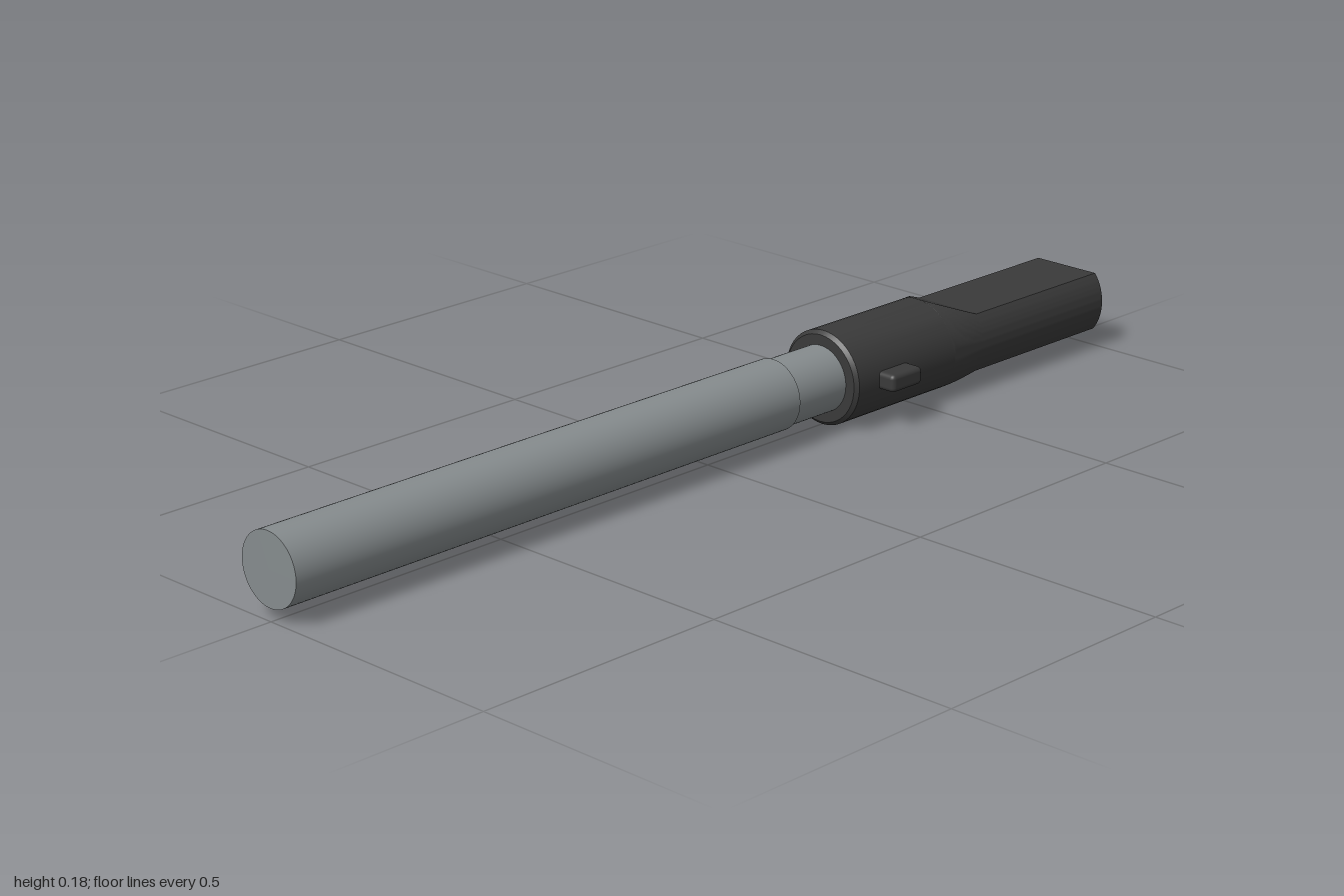
import * as THREE from 'three';
import { toCreasedNormals } from 'three/addons/utils/BufferGeometryUtils.js';
import { RoundedBoxGeometry } from 'three/addons/geometries/RoundedBoxGeometry.js';

const AXIS_Y = 0.09;

// Ring of points on a circle of radius r whose top and bottom are cut flat at +-h.
function ring(r, h, z, n = 24) {
  const a = Math.asin(Math.min(h / r, 0.9999));
  const points = [];
  for (const start of [0, Math.PI]) {
    for (let i = 0; i <= n; i++) {
      const t = start - a + (2 * a * i) / n;
      points.push([r * Math.cos(t), r * Math.sin(t), z]);
    }
  }
  return points;
}

// Skin a closed solid over rings ordered from front to back.
function loft(rings) {
  const n = rings[0].length;
  const positions = rings.flat(2);
  const index = [];
  for (let i = 0; i < rings.length - 1; i++) {
    for (let j = 0; j < n; j++) {
      const a = i * n + j, b = i * n + (j + 1) % n;
      index.push(a, a + n, b, b, a + n, b + n);
    }
  }
  const last = (rings.length - 1) * n;
  for (let j = 1; j < n - 1; j++) {
    index.push(0, j, j + 1);
    index.push(last, last + j + 1, last + j);
  }
  const geometry = new THREE.BufferGeometry();
  geometry.setAttribute('position', new THREE.Float32BufferAttribute(positions, 3));
  geometry.setIndex(index);
  return toCreasedNormals(geometry, 0.3);
}

export function createModel() {
  const model = new THREE.Group();
  const metal = new THREE.MeshStandardMaterial({ color: 0x868c8e });
  metal.name = 'grey metal';
  const black = new THREE.MeshStandardMaterial({ color: 0x3a3a3a });
  black.name = 'dark plastic';

  function add(name, geometry, material, x, y, z) {
    const mesh = new THREE.Mesh(geometry, material);
    mesh.name = name;
    mesh.position.set(x, y, z);
    model.add(mesh);
  }

  // Round rods lying along z
  function rod(name, radius, front, back) {
    const geometry = new THREE.CylinderGeometry(radius, radius, front - back, 64).rotateX(Math.PI / 2);
    add(name, geometry, metal, 0, AXIS_Y, (front + back) / 2);
  }
  rod('shaft', 0.067, 1, -0.168);
  rod('neck', 0.063, -0.168, -0.3);

  // Handle: chamfered collar, ramps down to two flats, then a flat-sided grip
  const R = 0.09, FLAT = 0.056, RAMP_START = -0.557, RAMP_END = -0.645, STEPS = 12;
  const rings = [ring(0.083, 0.083, -0.293), ring(R, R, -0.3)];
  for (let i = 0; i <= STEPS; i++) {
    // finer steps near the start, where the flat widens fastest
    const t = (i / STEPS) ** 2;
    rings.push(ring(R, R + (FLAT - R) * t, RAMP_START + (RAMP_END - RAMP_START) * t));
  }
  rings.push(ring(R, FLAT, -0.997), ring(R - 0.003, FLAT - 0.002, -1));
  add('handle', loft(rings), black, 0, AXIS_Y, 0);

  // Side buttons
  for (const side of [1, -1]) {
    const geometry = new RoundedBoxGeometry(0.05, 0.034, 0.08, 3, 0.009);
    add(side > 0 ? 'leftButton' : 'rightButton', geometry, black, side * 0.099, AXIS_Y + 0.001, -0.394);
  }
  return model;
}
